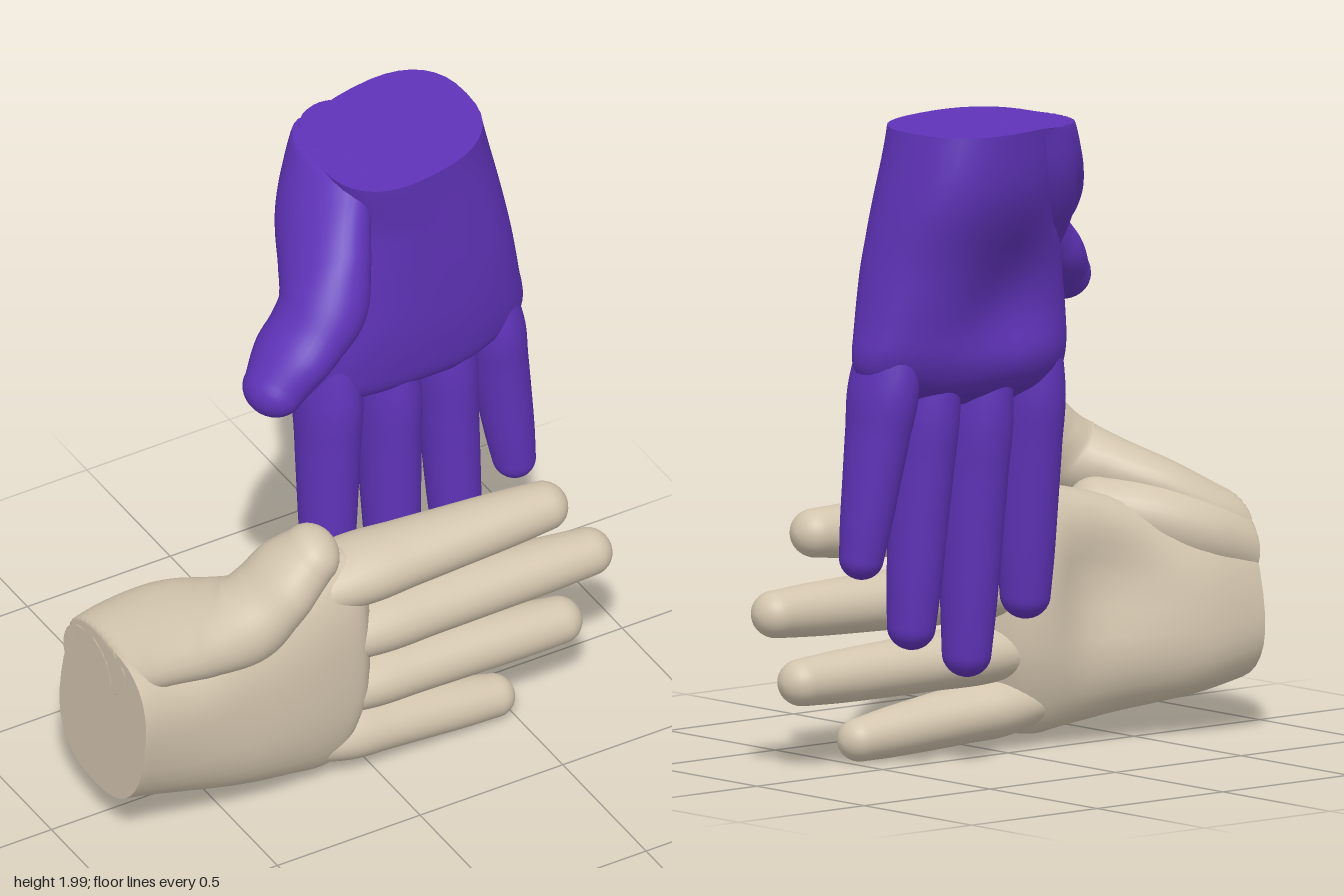
import * as THREE from 'three';

const SIDES = 36;
const WRIST = -0.86;
const spow = (v, e) => Math.sign(v) * Math.pow(Math.abs(v), e);
const bump = (d, r) => Math.exp(-(d * d) / (r * r));

// Loft through rows of [x, y, z, halfWidth, halfDepth]; flat start, rounded or plain end
function loft(rows, { steps = 8, power = 1, straight = false, round = true, shape = null } = {}) {
  const centre = new THREE.CatmullRomCurve3(rows.map(r => new THREE.Vector3(r[0], r[1], r[2])), false, 'catmullrom');
  const size = new THREE.CatmullRomCurve3(rows.map(r => new THREE.Vector3(r[3], r[4], 0)), false, 'catmullrom');
  const rings = [];
  const count = (rows.length - 1) * steps;
  for (let i = 0; i <= count; i++) {
    const t = i / count, s = size.getPoint(t);
    const dir = straight ? new THREE.Vector3(1, 0, 0) : centre.getTangent(t);
    rings.push({ c: centre.getPoint(t), dir, a: s.x, b: s.y });
  }
  const end = rings[rings.length - 1];
  if (round) {
    for (let k = 1; k <= 8; k++) {
      const q = k / 8 * Math.PI / 2, f = Math.max(Math.cos(q), 0.001);
      rings.push({ c: end.c.clone().addScaledVector(end.dir, end.a * Math.sin(q)), dir: end.dir, a: end.a * f, b: end.b * f });
    }
  } else {
    rings.push({ ...end, a: end.a * 0.001, b: end.b * 0.001 });
  }
  // Doubled first ring and a tiny one give a sharp flat cap
  const first = rings[0];
  rings.unshift({ ...first, a: 0.0005, b: 0.0005 }, first);

  const pos = [], index = [];
  rings.forEach(({ c, dir, a, b }, i) => {
    const v = new THREE.Vector3(0, 0, 1).addScaledVector(dir, -dir.z).normalize();
    const u = new THREE.Vector3().crossVectors(v, dir);
    for (let j = 0; j < SIDES; j++) {
      const q = j / SIDES * Math.PI * 2;
      const p = c.clone()
        .addScaledVector(u, a * spow(Math.cos(q), power))
        .addScaledVector(v, b * spow(Math.sin(q), power));
      if (shape) shape(p, c);
      p.x = Math.max(p.x, WRIST);
      pos.push(p.x, p.y, p.z);
      if (i < rings.length - 1 && i !== 1) {
        const k = (j + 1) % SIDES, r = i * SIDES, n = r + SIDES;
        index.push(r + j, r + k, n + j, r + k, n + k, n + j);
      }
    }
  });
  const geo = new THREE.BufferGeometry();
  geo.setAttribute('position', new THREE.Float32BufferAttribute(pos, 3));
  geo.setIndex(index);
  return geo;
}

// Palm: slanted wrist, hollow middle, pads under the fingers, short side at the little finger
function shapePalm(p, c) {
  const under = THREE.MathUtils.clamp((c.z - p.z) / 0.12, 0, 1);
  p.z += under * 0.07 * bump(p.x + 0.36, 0.2) * bump(p.y - 0.5, 0.17);
  p.z -= under * 0.03 * bump(p.x + 0.13, 0.1) * bump(p.y - 0.5, 0.25);
  p.z += 0.18 * (p.y - 0.43) * (1 - THREE.MathUtils.smoothstep(p.x, WRIST, -0.4));
  const near = THREE.MathUtils.smoothstep(p.x, -0.3, 0);
  p.x -= near * 0.3 * Math.max(0, 0.3 - p.y);
}

function handParts() {
  const parts = {
    palm: loft([
      [-0.86, 0.435, 0.068, 0.285, 0.25],
      [-0.66, 0.40, 0.073, 0.29, 0.245],
      [-0.46, 0.412, 0.095, 0.333, 0.216],
      [-0.28, 0.42, 0.113, 0.368, 0.188],
      [-0.14, 0.42, 0.122, 0.385, 0.160],
      [-0.05, 0.42, 0.132, 0.375, 0.125],
      [0.0, 0.42, 0.14, 0.33, 0.06],
    ], { power: 0.8, straight: true, round: false, shape: shapePalm }),
    thumb: loft([
      [-0.90, 0.60, -0.01, 0.10, 0.14],
      [-0.80, 0.655, 0.045, 0.10, 0.17],
      [-0.69, 0.725, 0.14, 0.105, 0.185],
      [-0.59, 0.78, 0.245, 0.115, 0.17],
      [-0.51, 0.825, 0.312, 0.125, 0.15],
      [-0.44, 0.895, 0.337, 0.108, 0.142],
      [-0.38, 0.965, 0.352, 0.098, 0.138],
      [-0.31, 1.035, 0.373, 0.086, 0.105],
    ]),
    thumbPad: loft([
      [-0.90, 0.55, -0.03, 0.12, 0.14],
      [-0.74, 0.61, 0.0, 0.125, 0.15],
      [-0.60, 0.66, 0.075, 0.12, 0.15],
      [-0.47, 0.70, 0.14, 0.09, 0.115],
    ]),
  };
  // Fingers: base y, tip x, tip y, base half width, tip half width
  const fingers = {
    indexFinger: [0.695, 0.70, 0.725, 0.106, 0.075],
    middleFinger: [0.50, 0.855, 0.492, 0.106, 0.073],
    ringFinger: [0.305, 0.75, 0.272, 0.098, 0.072],
    littleFinger: [0.152, 0.515, 0.073, 0.102, 0.066],
  };
  for (const [name, [y, tipX, tipY, a, r]] of Object.entries(fingers)) {
    const x0 = -0.28, x1 = tipX - r, lerp = THREE.MathUtils.lerp;
    const rows = [0, 0.28, 0.48, 0.66, 0.85, 1].map((t, i) => [
      lerp(x0, x1, t), lerp(y, tipY, t), lerp(0.115, 0.168, t),
      lerp(a, r, t) * [0.6, 1, 1.04, 1.06, 1.06, 1][i],
      lerp(a * 1.45, r * 1.08, t) * [0.7, 1, 1.01, 1.01, 1.02, 1][i],
    ]);
    parts[name] = loft(rows);
  }
  return parts;
}

// One hand; the matrix may mirror it, in which case the faces are turned round
function makeHand(name, material, matrix) {
  const hand = new THREE.Group();
  hand.name = name;
  for (const [part, geo] of Object.entries(handParts())) {
    geo.applyMatrix4(matrix);
    if (matrix.determinant() < 0) geo.setIndex(Array.from(geo.index.array).reverse());
    geo.computeVertexNormals();
    const mesh = new THREE.Mesh(geo, material);
    mesh.name = part;
    hand.add(mesh);
  }
  return hand;
}

export function createModel() {
  const beige = new THREE.MeshStandardMaterial({ color: 0xd3c5ae });
  beige.name = 'beige';
  const purple = new THREE.MeshStandardMaterial({ color: 0x5f33b8 });
  purple.name = 'purple';

  const model = new THREE.Group();
  model.name = 'twoHands';
  // Sideways hand, and its mirror image pointing down behind it
  model.add(makeHand('sidewaysHand', beige, new THREE.Matrix4()));
  model.add(makeHand('downwardHand', purple, new THREE.Matrix4().set(
    0, -1, 0, 0.77,
    -1, 0, 0, 1.14,
    0, 0, 1, -0.3,
    0, 0, 0, 1)));
  return model;
}
